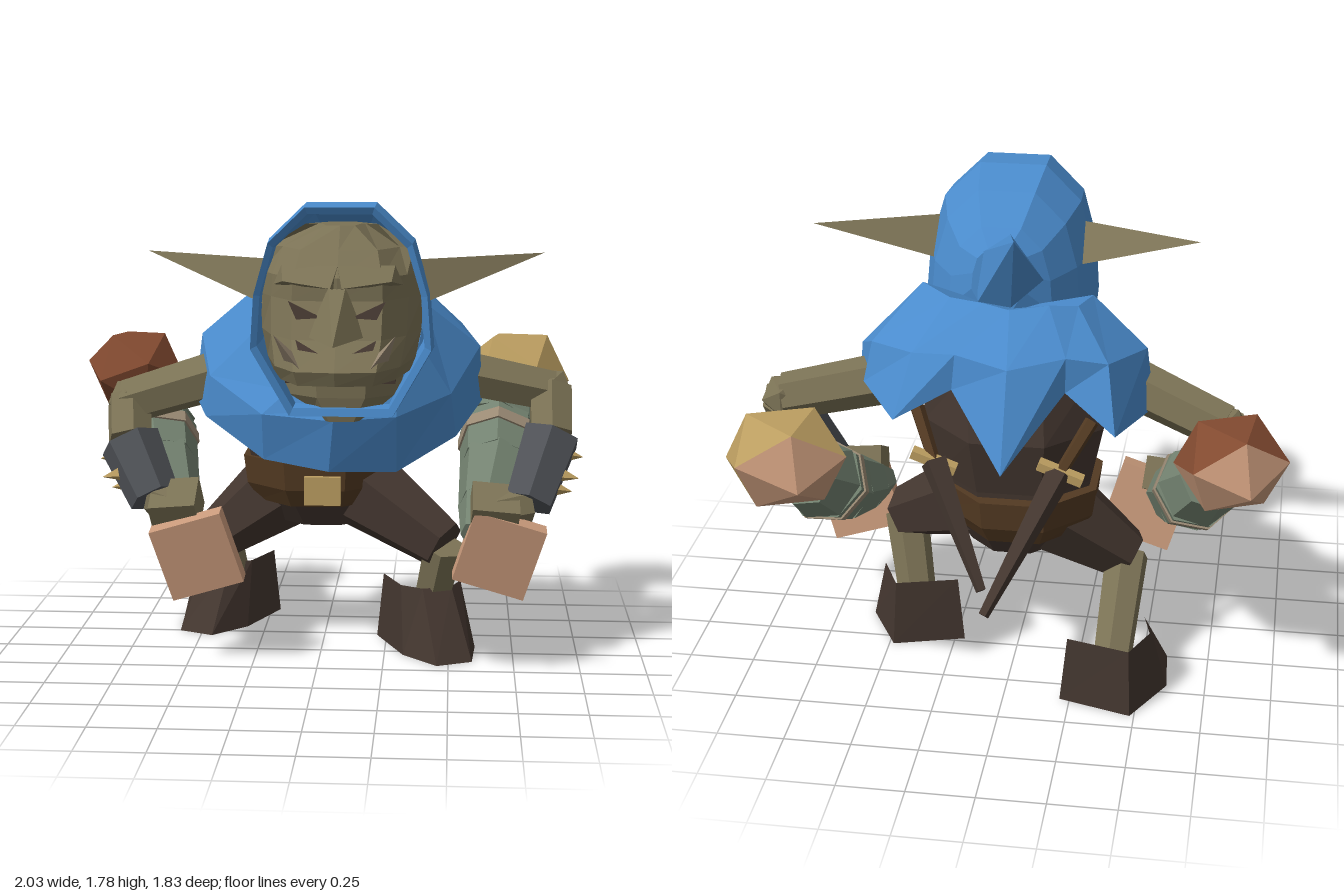
import * as THREE from 'three';
import { ConvexGeometry } from 'three/addons/geometries/ConvexGeometry.js';

const mat = (name, color, side = THREE.FrontSide) => {
  const m = new THREE.MeshStandardMaterial({ color, side });
  m.name = name;
  return m;
};
const V = (p) => new THREE.Vector3(...p);

export function createModel() {
  const root = new THREE.Group();
  const skin = mat('olive skin', 0x7b7255), cloth = mat('blue cloth', 0x4a8bcc, THREE.DoubleSide);
  const dark = mat('dark brown leather', 0x43362f), belt = mat('belt brown', 0x533a22);
  const gold = mat('gold', 0xbb9d60), pink = mat('pale clay', 0xc99a7b), rust = mat('rust clay', 0x824a30);
  const green = mat('grey green', 0x738270), steel = mat('dark steel', 0x505358), wrap = mat('wrap', 0x9a8a74);

  const add = (name, geo, m, parent = root) => {
    const g = geo.index ? geo.toNonIndexed() : geo;
    g.computeVertexNormals();
    const mesh = new THREE.Mesh(g, m);
    mesh.name = name;
    parent.add(mesh);
    return mesh;
  };
  const hull = (name, pts, m, parent) => add(name, new ConvexGeometry(pts.map(V)), m, parent);

  // Skin over closed rings of points, ordered front > left > back > right, bottom to top
  const loft = (rings, capBottom = true, capTop = true) => {
    const pos = [], n = rings[0].length;
    const tri = (...t) => t.forEach((p) => pos.push(...p));
    const mid = (r) => [0, 1, 2].map((k) => r.reduce((s, p) => s + p[k], 0) / n);
    for (let i = 0; i < rings.length - 1; i++) for (let j = 0; j < n; j++) {
      const a = rings[i][j], b = rings[i][(j + 1) % n], c = rings[i + 1][(j + 1) % n], d = rings[i + 1][j];
      tri(a, b, c); tri(a, c, d);
    }
    const lo = rings[0], hi = rings[rings.length - 1];
    for (let j = 0; j < n; j++) {
      if (capBottom) tri(mid(lo), lo[(j + 1) % n], lo[j]);
      if (capTop) tri(mid(hi), hi[j], hi[(j + 1) % n]);
    }
    const g = new THREE.BufferGeometry();
    g.setAttribute('position', new THREE.Float32BufferAttribute(pos, 3));
    return g;
  };
  const oval = ([x, y, z, rx, rz], n = 8) => Array.from({ length: n }, (_, i) => {
    const t = ((i + 0.5) / n) * Math.PI * 2;
    return [x + rx * Math.sin(t), y, z + rz * Math.cos(t)];
  });

  // Tapered prism between two points
  const limb = (name, a, b, r1, r2, m, sides = 6, parent = root) => {
    const p = V(a), d = V(b).sub(p);
    const mesh = add(name, new THREE.CylinderGeometry(r2, r1, d.length(), sides), m, parent);
    mesh.position.copy(p).addScaledVector(d, 0.5);
    mesh.quaternion.setFromUnitVectors(new THREE.Vector3(0, 1, 0), d.normalize());
    return mesh;
  };

  // Torso and belt
  add('torso', loft([[0, 0.49, -0.22, 0.18, 0.17], [-0.01, 0.6, -0.22, 0.26, 0.25], [0, 0.78, -0.2, 0.31, 0.28],
    [0, 1.0, -0.18, 0.36, 0.35], [0.02, 1.24, -0.15, 0.36, 0.3]].map((r) => oval(r))), dark);
  add('belt', loft([[-0.02, 0.58, -0.22, 0.25, 0.26], [-0.02, 0.65, -0.22, 0.3, 0.3], [-0.02, 0.76, -0.22, 0.315, 0.31]]
    .map((r) => oval(r))), belt);
  const buckle = add('buckle', new THREE.BoxGeometry(0.14, 0.11, 0.04), gold);
  buckle.position.set(0.01, 0.655, 0.07);

  // Mantle: hem with three pointed tails, shoulder ring, collar ring
  const hem = [[0.05, 0.78, 0.33], [0.3, 0.77, 0.26], [0.52, 0.88, 0.1], [0.62, 0.98, -0.15], [0.57, 1.12, -0.28],
    [0.41, 1.09, -0.53], [0.21, 1.18, -0.44], [0, 0.95, -0.65], [-0.2, 1.18, -0.41], [-0.39, 1.05, -0.48],
    [-0.5, 1.0, -0.1], [-0.44, 0.94, 0.06], [-0.2, 0.81, 0.25]];
  const shoulders = [[0.07, 0.98, 0.39], [0.3, 0.99, 0.34], [0.5, 1.05, 0.15], [0.61, 1.2, -0.1], [0.54, 1.27, -0.25],
    [0.36, 1.3, -0.4], [0.2, 1.31, -0.42], [0, 1.29, -0.49], [-0.2, 1.31, -0.4], [-0.35, 1.28, -0.36],
    [-0.47, 1.24, -0.1], [-0.42, 1.1, 0.08], [-0.2, 0.99, 0.31]];
  const collar = [[0.1, 1.02, 0.38], [0.3, 1.1, 0.31], [0.38, 1.25, 0.2], [0.4, 1.38, 0.05], [0.38, 1.44, -0.06],
    [0.25, 1.45, -0.22], [0.12, 1.45, -0.26], [0.02, 1.44, -0.29], [-0.12, 1.45, -0.25], [-0.22, 1.43, -0.19],
    [-0.26, 1.42, -0.05], [-0.24, 1.28, 0.1], [-0.1, 1.08, 0.31]];
  add('mantle', loft([hem, shoulders, collar], false, true), cloth);

  // Hood: arched rings from the back of the head to the face opening, with a rim
  const half = [[0.125, 1.77], [0.26, 1.64], [0.315, 1.45], [0.33, 1.25], [0.19, 1.0]];
  const arch = [...half.map(([x, y]) => [-x, y]), ...half.slice().reverse()];
  const hoodRing = (z, s, cy = 1.42) => arch.map(([x, y]) => {
    const yy = cy + (y - 1.42) * s;
    return [0.1 + x * s, yy, z + (yy - 1.77) * 0.12];
  });
  add('hood', loft([hoodRing(-0.01, 0.3, 1.47), hoodRing(0.06, 0.6), hoodRing(0.19, 0.87), hoodRing(0.36, 1.02),
    hoodRing(0.52, 0.99), hoodRing(0.51, 0.92), hoodRing(0.32, 0.9)], true, false), cloth);
  hull('hoodPeak', [[0.07, 1.6, 0.07], [0.2, 1.52, 0.05], [0.17, 1.38, -0.08], [0.04, 1.38, -0.12],
    [-0.07, 1.46, -0.03], [0, 1.71, -0.31]], cloth);

  // Head, built about its own centre line
  const head = new THREE.Group();
  head.name = 'head';
  head.position.x = 0.1;
  root.add(head);
  const slice = ([y, hw, zf]) => [[0, y, zf + 0.02], [hw * 0.65, y, zf], [hw, y, zf - 0.15], [hw + 0.05, y, 0.37],
    [hw * 0.6, y, 0.26], [-hw * 0.6, y, 0.26], [-hw - 0.05, y, 0.37], [-hw, y, zf - 0.15], [-hw * 0.65, y, zf]];
  add('skull', loft([[1.17, 0.2, 0.78], [1.22, 0.22, 0.8], [1.32, 0.24, 0.71], [1.45, 0.245, 0.65],
    [1.53, 0.24, 0.65], [1.62, 0.21, 0.55], [1.7, 0.08, 0.46]].map(slice)), skin, head);
  add('neck', loft([oval([0, 0.98, 0.24, 0.12, 0.17]), oval([0, 1.07, 0.22, 0.23, 0.21]),
    oval([0, 1.2, 0.22, 0.25, 0.22])]), skin, head);
  hull('nose', [[-0.03, 1.5, 0.66], [0.03, 1.5, 0.66], [0, 1.32, 0.92], [-0.1, 1.33, 0.7], [0.1, 1.33, 0.7],
    [0, 1.3, 0.72]], skin, head);
  const mouth = add('mouth', new THREE.BoxGeometry(0.4, 0.04, 0.008), dark, head);
  mouth.position.set(0, 1.15, 0.445);
  for (const s of [1, -1]) {
    hull('ear', [[s * 0.28, 1.41, 0.395], [s * 0.28, 1.57, 0.33], [s * 0.28, 1.44, 0.2], [s * 0.74, 1.58, 0.13]], skin, head);
    hull('brow', [[s * 0.01, 1.49, 0.65], [s * 0.02, 1.5, 0.73], [s * 0.19, 1.52, 0.67], [s * 0.23, 1.5, 0.57],
      [s * 0.2, 1.57, 0.59], [0, 1.57, 0.63]], skin, head);
    hull('eye', [0.664, 0.672].flatMap((z) => [[s * 0.05, 1.395, z + 0.022], [s * 0.17, 1.45, z], [s * 0.14, 1.39, z + 0.026]]),
      dark, head);
    hull('tusk', [[s * 0.1, 1.2, 0.79], [s * 0.18, 1.24, 0.7], [s * 0.13, 1.26, 0.72], [s * 0.21, 1.35, 0.81]], wrap, head);
    hull('cheekMark', [0.7, 0.708].flatMap((z) => [[s * 0.06, 1.28, z + 0.052], [s * 0.14, 1.32, z + 0.012],
      [s * 0.13, 1.29, z + 0.04]]), dark, head);
  }

  // Arms, bracers and the clubs they hold
  const sides = [
    { name: 'left', s: 1, shoulder: [0.42, 1.11, -0.17], elbow: [0.89, 1.01, -0.22], cuff: [0.89, 0.85, -0.1],
      wrist: [0.8, 0.61, 0.04], hand: [0.67, 0.59, 0.08], box: [0.69, 0.43, 0.11], ball: [0.76, 1.01, -0.72],
      club: [[0.6, 0.5, 0.12], [0.64, 0.57, -0.05], [0.68, 0.69, -0.3], [0.69, 0.81, -0.49], [0.72, 0.89, -0.61]],
      cap: gold, facing: [0.5, 0.5, 0.45], size: [1.14, 0.95, 1.03] },
    { name: 'right', s: -1, shoulder: [-0.38, 1.09, -0.05], elbow: [-0.77, 0.96, -0.16], cuff: [-0.75, 0.82, -0.03],
      wrist: [-0.64, 0.62, 0.08], hand: [-0.55, 0.6, 0.12], box: [-0.46, 0.43, 0.2], ball: [-0.81, 1.03, -0.58],
      club: [[-0.54, 0.5, 0.14], [-0.58, 0.59, 0], [-0.65, 0.7, -0.2], [-0.69, 0.82, -0.37], [-0.74, 0.91, -0.47]],
      cap: rust, facing: [0.1, 0.55, 0.83], size: [1.02, 0.9, 1.04] },
  ];
  for (const a of sides) {
    const arm = new THREE.Group();
    arm.name = a.name + 'Arm';
    root.add(arm);
    limb('upperArm', a.shoulder, a.elbow, 0.1, 0.09, skin, 6, arm);
    add('elbow', new THREE.IcosahedronGeometry(0.092), skin, arm).position.set(...a.elbow);
    limb('forearm', a.elbow, a.cuff, 0.092, 0.09, skin, 6, arm);
    limb('bracer', a.cuff, a.wrist, 0.12, 0.1, steel, 6, arm);
    limb('wrist', a.wrist, a.hand, 0.075, 0.07, skin, 6, arm);
    const hand = add('hand', new THREE.BoxGeometry(0.18, 0.13, 0.17), skin, arm);
    hand.position.set(...a.hand);
    hand.rotation.set(0.5, 0, a.s * -0.1);
    for (const [t, dz] of [[0.3, -0.03], [0.55, 0.04], [0.8, -0.02]]) {
      const p = V(a.cuff).lerp(V(a.wrist), t);
      const base = [p.x + a.s * 0.09, p.y, p.z + dz];
      limb('stud', base, [base[0] + a.s * 0.06, base[1] - 0.01, base[2] + dz * 0.3], 0.026, 0.001, gold, 4, arm);
    }
    const club = new THREE.Group();
    club.name = a.name + 'Club';
    root.add(club);
    const r = [0.06, 0.11, 0.145, 0.155, 0.12];
    for (let i = 0; i < 4; i++) limb('shaft', a.club[i], a.club[i + 1], r[i], r[i + 1], green, 7, club);
    const b0 = V(a.club[2]).lerp(V(a.club[3]), 0.55).toArray(), b1 = V(a.club[2]).lerp(V(a.club[3]), 0.8).toArray();
    limb('wrapBand', b0, b1, 0.159, 0.161, wrap, 7, club);
    const block = add('block', new THREE.BoxGeometry(0.285, 0.29, 0.08), pink, club);
    block.position.set(...a.box);
    block.rotation.set(0.16, 0, a.s * -0.3);
    // Two-coloured stone: each face takes the colour of the side it points to
    const ico = new THREE.IcosahedronGeometry(0.205).rotateX(0.3).rotateY(0.4).scale(...a.size);
    const q = ico.attributes.position;
    for (let i = 0; i < q.count; i += 3) {
      const c = new THREE.Vector3();
      for (let k = 0; k < 3; k++) c.add(new THREE.Vector3().fromBufferAttribute(q, i + k));
      ico.addGroup(i, 3, c.dot(V(a.facing)) > -0.06 ? 0 : 1);
    }
    add('stone', ico, [a.cap, pink], club).position.set(...a.ball);
  }

  // Legs and open-topped boots, toes turned out
  const legs = [
    { name: 'left', s: 1, dz: 0, hip: [0.1, 0.66, -0.2], knee: [0.48, 0.43, 0], ankle: [0.42, 0.12, -0.12] },
    { name: 'right', s: -1, dz: -0.37, hip: [-0.1, 0.66, -0.25], knee: [-0.42, 0.42, -0.2], ankle: [-0.4, 0.14, -0.5] },
  ];
  const sole = [[-0.07, 0.23], [0.08, 0.22], [0.17, 0.03], [0.14, -0.22], [-0.14, -0.25], [-0.14, 0.05]];
  const rim = [[-0.06, 0.05], [0.06, 0.05], [0.13, -0.03], [0.12, -0.2], [-0.12, -0.23], [-0.12, -0.03]];
  const turn = 0.38;
  for (const l of legs) {
    const leg = new THREE.Group();
    leg.name = l.name + 'Leg';
    root.add(leg);
    limb('thigh', l.hip, l.knee, 0.19, 0.105, dark, 6, leg);
    limb('shin', l.knee, l.ankle, 0.085, 0.075, skin, 6, leg);
    const ring = (pts, y) => {
      const out = pts.map(([x, z]) => [l.s * (0.435 + x * Math.cos(turn) + z * Math.sin(turn)), y,
        l.dz - 0.05 + z * Math.cos(turn) - x * Math.sin(turn)]);
      return l.s > 0 ? out : out.reverse();
    };
    add('boot', loft([ring(sole, 0), ring(rim, 0.26)], true, false), dark, leg);
  }

  // Crossed daggers on the back
  for (const [grip, guard, tip] of [
    [[-0.3, 1.08, -0.42], [-0.2, 0.92, -0.53], [0.03, 0.5, -0.86]],
    [[0.34, 1.1, -0.43], [0.26, 0.94, -0.54], [0.05, 0.56, -0.79]],
  ]) {
    limb('daggerGrip', guard, grip, 0.024, 0.028, belt, 5);
    limb('daggerSheath', guard, tip, 0.052, 0.02, dark, 4);
    limb('daggerGuard', [guard[0] - 0.08, guard[1] - 0.03, guard[2]], [guard[0] + 0.08, guard[1] + 0.03, guard[2]],
      0.027, 0.027, gold, 5);
  }
  return root;
}
